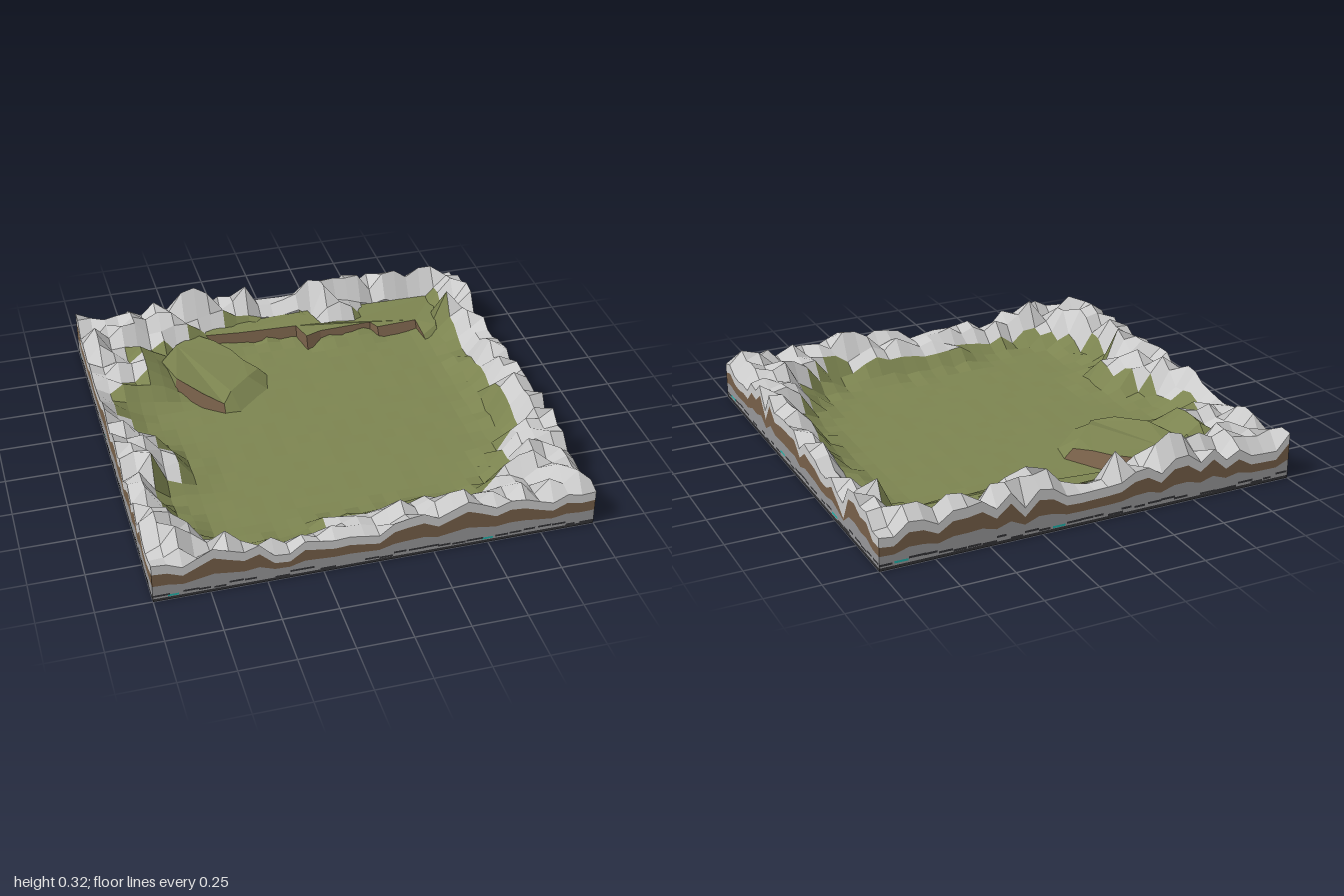
import * as THREE from 'three';

const N = 30, STEP = 2 / N;
const material = (color) => new THREE.MeshStandardMaterial({ color, side: THREE.DoubleSide });
const ROCK = material(0xcccccc), GRASS = material(0x7c8450), SOIL = material(0x765f48);
const STONE = material(0x969698), DARK = material(0x333336), GEM = material(0x20b0a8);
const { clamp, smoothstep } = THREE.MathUtils;

// Repeatable noise in 0..1 for a grid point
function hash(i, j) {
  const s = Math.sin(i * 127.1 + j * 311.7 + 4.3) * 43758.5453;
  return s - Math.floor(s);
}

// Outline of the meadow (x, z)
const MEADOW = [
  [-0.8, -0.73], [-0.6, -0.73], [-0.47, -0.76], [-0.3, -0.83], [0.2, -0.87], [0.22, -0.74], [0.4, -0.74],
  [0.47, -0.87], [0.86, -0.87], [0.87, -0.4], [0.87, 0], [0.84, 0.2], [0.87, 0.38], [0.73, 0.52], [0.7, 0.66],
  [0.53, 0.8], [0.52, 0.86], [0.4, 0.86], [0.33, 0.8], [0, 0.8], [-0.2, 0.8], [-0.2, 0.87], [-0.55, 0.87],
  [-0.73, 0.8], [-0.8, 0.67], [-0.87, 0.5], [-0.86, 0.36], [-0.73, 0.3], [-0.73, 0.18], [-0.8, 0.05],
  [-0.89, -0.1], [-0.93, -0.4], [-0.78, -0.47], [-0.73, -0.52], [-0.78, -0.6],
];

// Signed distance to an outline, positive inside
function insetDistance(outline, x, z) {
  let inside = false, best = Infinity;
  outline.forEach(([ax, az], k) => {
    const [bx, bz] = outline[(k + 1) % outline.length];
    if ((az > z) !== (bz > z) && x < ((bx - ax) * (z - az)) / (bz - az) + ax) inside = !inside;
    const dx = bx - ax, dz = bz - az;
    const t = clamp(((x - ax) * dx + (z - az) * dz) / (dx * dx + dz * dz), 0, 1);
    best = Math.min(best, Math.hypot(x - ax - t * dx, z - az - t * dz));
  });
  return inside ? best : -best;
}

// Caps above the meadow: x, z, height, lean of the side below
const HILL = [
  [-0.6, -0.43, 0.13, 0.015], [-0.5, -0.29, 0.115, 0.02], [-0.41, -0.22, 0.085, 0.025], [-0.36, -0.29, 0.105, 0.1],
  [-0.25, -0.4, 0.1, 0.1], [-0.18, -0.47, 0.09, 0.045], [-0.24, -0.55, 0.1, 0.045], [-0.28, -0.64, 0.11, 0.04],
  [-0.35, -0.73, 0.12, 0.03], [-0.43, -0.79, 0.13, 0.02], [-0.54, -0.73, 0.125, 0.02], [-0.64, -0.6, 0.125, 0.02],
];
const TERRACE = [
  [-0.44, -0.79, 0.12, 0.025], [-0.2, -0.78, 0.11, 0.02], [0.09, -0.76, 0.115, 0.02], [0.12, -0.66, 0.11, 0.03],
  [0.2, -0.69, 0.11, 0.02], [0.47, -0.71, 0.105, 0.02], [0.5, -0.67, 0.095, 0.03], [0.71, -0.69, 0.09, 0.02],
  [0.72, -0.58, 0.065, 0.04], [0.8, -0.62, 0.09, 0.04], [0.86, -0.87, 0.11, 0], [0.47, -0.87, 0.115, 0],
  [0.4, -0.75, 0.11, 0], [0.22, -0.75, 0.115, 0], [0.18, -0.87, 0.125, 0], [-0.26, -0.85, 0.125, 0],
];

// Top of the soil layer along the front (x rising) and right (z rising) walls
const FRONT_SOIL = [.147, .142, .115, .147, .18, .157, .136, .158, .094, .088, .136, .125, .115, .12, .11, .099,
  .147, .16, .168, .136, .163, .19, .165, .136, .158, .152, .13, .11, .14, .125, .13];
const RIGHT_SOIL = [.11, .11, .163, .158, .19, .18, .056, .105, .147, .115, .115, .142, .15, .163, .115, .174,
  .168, .168, .163, .152, .21, .115, .21, .163, .174, .115, .12, .11, .115, .147, .13];
// Low passes in the middle of the back rim and along the sides
function pass(x, z) {
  const off = Math.abs(z) > Math.abs(x) ? x : z + 0.42;
  return 1 - 0.8 * Math.exp((-off * off) / 0.02);
}
function soilTop(i, j) {
  if (j === N) return FRONT_SOIL[i];
  if (i === N) return RIGHT_SOIL[j];
  return 0.1 + 0.08 * hash(i, j) * pass(-1 + i * STEP, -1 + j * STEP);
}
const edgeTop = (soil) => Math.max(0.13, soil * 1.1 + 0.033);

// Tall summits (x, z, height)
const PEAKS = [[-0.4, -0.93, 0.32], [-0.47, -0.93, 0.3], [-0.13, -0.93, 0.285], [-0.87, 0.33, 0.28],
  [-0.87, 0.87, 0.28], [0.2, -0.93, 0.27], [0.27, -0.87, 0.265], [0.87, -0.67, 0.25], [-0.93, 0.73, 0.27],
  [-0.93, 0.2, 0.255], [-0.6, -0.87, 0.25], [0.87, 0.87, 0.26], [-0.73, -0.6, 0.2], [-0.93, -0.73, 0.26],
  [0.4, -0.93, 0.25], [-0.93, 0, 0.24], [0.93, 0.6, 0.24]];

function height(i, j) {
  if (i === 0 || j === 0 || i === N || j === N) return edgeTop(soilTop(i, j));
  const x = -1 + i * STEP, z = -1 + j * STEP;
  const peak = PEAKS.find((p) => Math.hypot(p[0] - x, p[1] - z) < STEP * 0.5);
  if (peak) return peak[2];
  const d = insetDistance(MEADOW, x, z), n = hash(i, j);
  if (d > 0) {
    const slope = Math.max(0, 1 - d / 0.2);
    // The ground climbs towards the back left corner
    const corner = 0.13 * smoothstep(-x, 0.5, 0.76) * smoothstep(-z, 0.25, 0.5);
    return 0.042 + 0.003 * n + slope * slope * (0.02 + 0.07 * n) + corner;
  }
  // The rim is gentle beside the meadow and rugged further out
  const rugged = Math.min(1, -d / 0.08);
  return 0.11 + 0.03 * rugged + 0.14 * n * pass(x, z) * (0.4 + 0.6 * rugged);
}

// Mesh from triangles or quads; each face keeps one flat normal
function facetMesh(name, faces, mat) {
  const pos = [], nor = [];
  for (const f of faces) {
    const [a, b, c, d] = f.map((p) => new THREE.Vector3(...p));
    const n = d
      ? c.clone().sub(a).cross(d.clone().sub(b)).normalize()
      : b.clone().sub(a).cross(c.clone().sub(a)).normalize();
    for (const v of d ? [a, b, c, a, c, d] : [a, b, c]) {
      pos.push(v.x, v.y, v.z);
      nor.push(n.x, n.y, n.z);
    }
  }
  const g = new THREE.BufferGeometry();
  g.setAttribute('position', new THREE.Float32BufferAttribute(pos, 3));
  g.setAttribute('normal', new THREE.Float32BufferAttribute(nor, 3));
  const mesh = new THREE.Mesh(g, mat);
  mesh.name = name;
  return mesh;
}

// Grassy cap with sides that lean away from a centre; grassy(k) picks the slopes without bare soil
function plateau(name, pts, [cx, cz], sides, grassy) {
  const group = new THREE.Group();
  group.name = name;
  const soil = [], grass = [];
  const at = (p) => [p[0], p[2], p[1]];
  const foot = ([x, z, , lean]) => {
    const r = 1 + lean / Math.hypot(x - cx, z - cz);
    return [cx + (x - cx) * r, 0.042, cz + (z - cz) * r];
  };
  for (const t of THREE.ShapeUtils.triangulateShape(pts.map((p) => new THREE.Vector2(p[0], -p[1])), []))
    grass.push(t.map((k) => at(pts[k])));
  for (let k = 0; k < sides; k++) {
    const p = pts[k], q = pts[(k + 1) % pts.length];
    (grassy(k) ? grass : soil).push([foot(p), foot(q), at(q), at(p)]);
  }
  group.add(facetMesh(name + 'Grass', grass, GRASS), facetMesh(name + 'Cliff', soil, SOIL));
  return group;
}

export function createModel() {
  const model = new THREE.Group();

  // Ground: meadow cells and the mountain rim, left open beneath the caps
  const P = (i, j) => [-1 + i * STEP, height(i, j), -1 + j * STEP];
  const meadow = [], rim = [];
  for (let i = 0; i < N; i++) for (let j = 0; j < N; j++) {
    const x = -1 + (i + 0.5) * STEP, z = -1 + (j + 0.5) * STEP;
    if ([HILL, TERRACE].some((cap) => insetDistance(cap, x, z) > STEP * 0.4)) continue;
    const cells = insetDistance(MEADOW, x, z) > 0 ? meadow : rim;
    cells.push([P(i, j), P(i, j + 1), P(i + 1, j + 1), P(i + 1, j)]);
  }
  model.add(facetMesh('meadow', meadow, GRASS), facetMesh('mountainRim', rim, ROCK));

  // Hill with two soil cliffs and grassy slopes; terrace along the back
  model.add(plateau('hill', HILL, [-0.42, -0.5], 12, (k) => (k > 1 && k < 5) || k > 8));
  model.add(plateau('backTerrace', TERRACE, [0.2, -6], 10, (k) => k > 7));

  // Four walls cut through the layers
  const walls = [(k) => [k, N], (k) => [N, N - k], (k) => [N - k, 0], (k) => [0, k]];
  const stoneTop = (s) => 0.024 + 0.4 * s;
  const layers = [
    ['baseLayer', DARK, () => 0, () => 0.014],
    ['stoneLayer', STONE, () => 0.014, stoneTop],
    ['soilLayer', SOIL, stoneTop, (s) => s],
    ['rockLayer', ROCK, (s) => s, edgeTop],
  ];
  for (const [name, mat, low, high] of layers) {
    const faces = [];
    for (const w of walls) for (let k = 0; k < N; k++) {
      const [a, b] = [w(k), w(k + 1)];
      const pt = ([i, j], f) => [-1 + i * STEP, f(soilTop(i, j)), -1 + j * STEP];
      faces.push([pt(a, low), pt(b, low), pt(b, high), pt(a, high)]);
    }
    model.add(facetMesh(name, faces, mat));
  }

  // Thin dark seams and a few gem flecks set in the stone
  const seams = [], gems = [];
  walls.forEach((w, side) => {
    for (let k = 0; k < N; k++) {
      const r = hash(k + 50, side + 9);
      if (r < 0.15) continue;
      const y = 0.012 + 0.02 * hash(k, side + 70);
      const place = (t, h) => {
        const [i, j] = w(Math.min(N, t));
        return [(-1 + i * STEP) * 1.001, h, (-1 + j * STEP) * 1.001];
      };
      const end = k + 0.5 + 0.7 * r;
      const list = k === 1 || k === 12 || k === 22 ? gems : seams;
      list.push([place(k, y), place(end, y), place(end, y + 0.01), place(k, y + 0.01)]);
    }
  });
  model.add(facetMesh('darkSeams', seams, DARK), facetMesh('gemFlecks', gems, GEM));
  return model;
}
